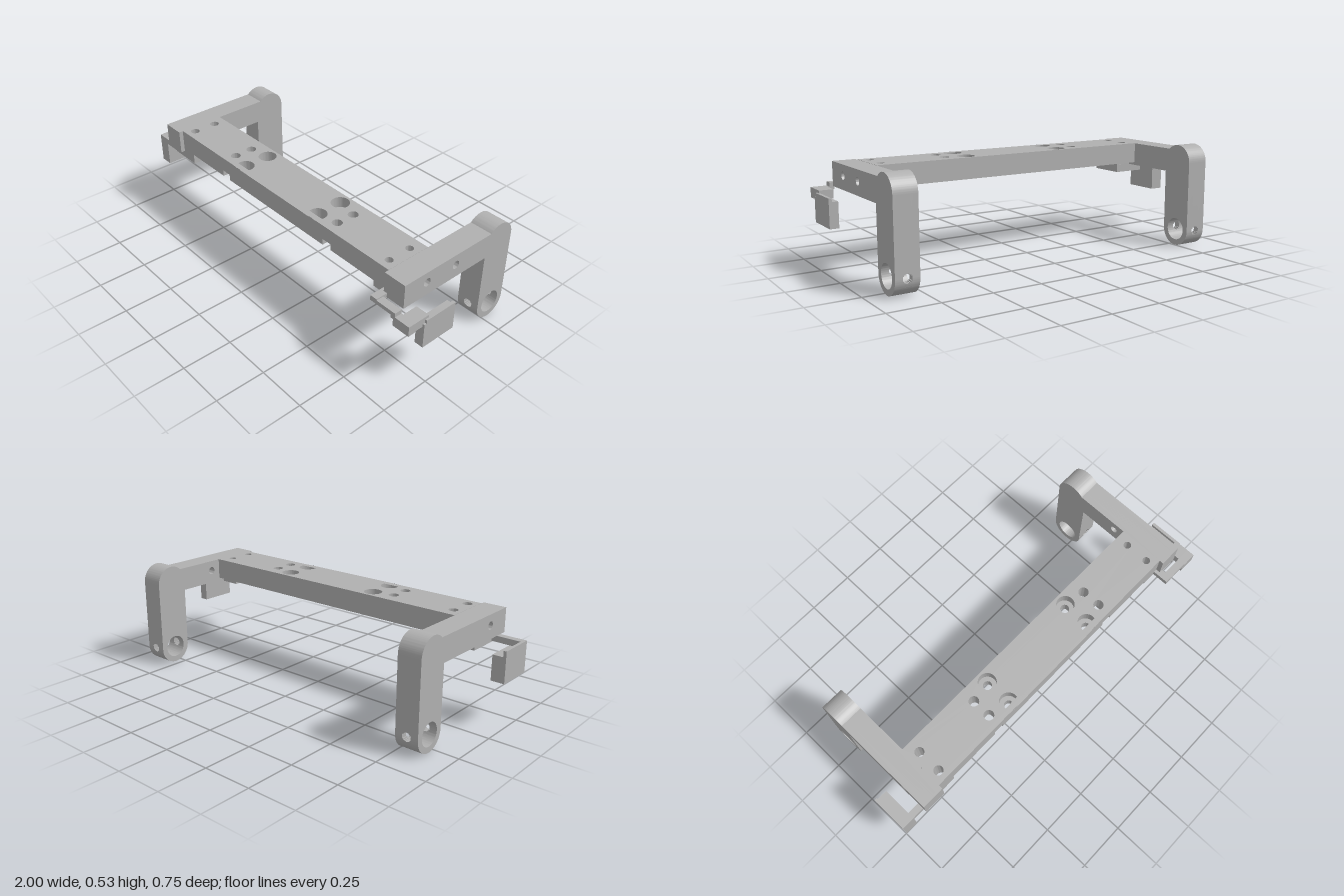
import * as THREE from 'three';
import { toCreasedNormals } from 'three/addons/utils/BufferGeometryUtils.js';

const grey = new THREE.MeshStandardMaterial({ color: 0xb0b0b0 });
grey.name = 'machined grey';

function addMesh(parent, name, geometry) {
  const mesh = new THREE.Mesh(geometry, grey);
  mesh.name = name;
  parent.add(mesh);
}

function circle(x, y, r) {
  return new THREE.Path().absarc(x, y, r, 0, Math.PI * 2, true);
}

function extrude(shape, depth) {
  const g = new THREE.ExtrudeGeometry(shape, { depth, bevelEnabled: false, curveSegments: 24 });
  return toCreasedNormals(g, 0.5);
}

function box(parent, name, x0, x1, y0, y1, z0, z1) {
  const g = new THREE.BoxGeometry(x1 - x0, y1 - y0, z1 - z0);
  g.translate((x0 + x1) / 2, (y0 + y1) / 2, (z0 + z1) / 2);
  addMesh(parent, name, g);
}

// Horizontal layer from an [x, z] outline, with [x, z, radius] holes
function layer(parent, name, outline, holes, y0, y1) {
  const shape = new THREE.Shape(outline.map(([x, z]) => new THREE.Vector2(x, -z)));
  for (const [x, z, r] of holes) shape.holes.push(circle(x, -z, r));
  addMesh(parent, name, extrude(shape, y1 - y0).rotateX(-Math.PI / 2).translate(0, y0, 0));
}

const rect = (x0, x1, z0, z1) => [[x0, z1], [x1, z1], [x1, z0], [x0, z0]];

// One slice of an arm: x0..x1, with the cross hole opened by h above and below the bore axis
const U = 0.287, YB = 0.089, R = 0.0865, BORE = 0.057;
function armSlice(parent, x0, x1, h, sideHoles) {
  const a = Math.asin(h / BORE), b = Math.asin(h / R);
  const domeY = 0.45, domeA = Math.asin((0.511 - domeY) / R);
  const upper = new THREE.Shape();
  upper.moveTo(U + R, YB + h);
  upper.lineTo(U + R, domeY);
  upper.absarc(U, domeY, R, 0, Math.PI - domeA, false);
  upper.lineTo(-0.314, 0.511);
  upper.lineTo(-0.314, 0.39);
  upper.lineTo(U - R, 0.39);
  upper.lineTo(U - R, YB + h);
  upper.absarc(U, YB, BORE, Math.PI - a, a, true);
  for (const z of sideHoles) upper.holes.push(circle(-z, 0.457, 0.02));

  const lower = new THREE.Shape();
  lower.absarc(U, YB, R, -b, -Math.PI + b, true);
  lower.absarc(U, YB, BORE, -Math.PI + a, -a, false);

  for (const [name, s] of [['armBody', upper], ['armEye', lower]]) {
    addMesh(parent, name, extrude(s, x1 - x0).rotateY(Math.PI / 2).translate(x0, 0, 0));
  }
}

function arm(name, x0, x1, sideHoles) {
  const group = new THREE.Group();
  group.name = name;
  const c = (x0 + x1) / 2, r = 0.022, n = 8;
  armSlice(group, x0, c - r, 0, sideHoles);
  armSlice(group, c + r, x1, 0, sideHoles);
  // Thin slices follow the round cross hole
  for (let i = 0; i < n; i++) {
    const s0 = -r + (2 * r * i) / n, s1 = s0 + (2 * r) / n, m = (s0 + s1) / 2;
    armSlice(group, c + s0, c + s1, Math.sqrt(r * r - m * m), sideHoles);
  }
  return group;
}

function crossBar() {
  const g = new THREE.Group();
  g.name = 'crossBar';
  const x0 = -0.755, x1 = 0.783, zb = 0.055, zf = 0.292;
  const near = [], far = [], bores = [];
  for (const [x, r, zs] of [
    [-0.71, 0.023, [0.12, 0.243]], [0.737, 0.019, [0.12, 0.243]],
    [-0.368, 0.025, [0.132, 0.229]], [0.396, 0.025, [0.132, 0.229]],
    [-0.258, 0.022, [0.112, 0.25]], [0.287, 0.022, [0.112, 0.25]],
  ]) {
    near.push([x, zs[0], r]);
    far.push([x, zs[1], r]);
    const topR = r === 0.022 ? 0.045 : r;
    bores.push([x, zs[0], topR], [x, zs[1], topR]);
  }
  // Counterbored top
  layer(g, 'barTop', rect(x0, x1, zb, zf), bores, 0.457, 0.512);
  // Two rails leave a lengthwise passage between them
  layer(g, 'barRearRail', rect(x0, x1, zb, 0.158), near, 0.437, 0.457);
  layer(g, 'barFrontRail', rect(x0, x1, 0.198, zf), far, 0.437, 0.457);
  // Bottom with two front notches
  const outline = [[x0, zb], [x0, zf]];
  for (const c of [-0.368, 0.396]) {
    outline.push([c - 0.027, zf], [c - 0.027, 0.2], [c + 0.027, 0.2], [c + 0.027, zf]);
  }
  outline.push([x1, zf], [x1, zb]);
  const notched = far.filter(([x]) => Math.abs(x) < 0.3 || Math.abs(x) > 0.5);
  layer(g, 'barBottom', outline, [...near, ...notched], 0.405, 0.437);
  return g;
}

function rightBracket() {
  const g = new THREE.Group();
  g.name = 'rightBracket';
  const holes = [[-0.71, 0.12, 0.023], [-0.71, 0.243, 0.023]];
  layer(g, 'mountPlate', rect(-0.84, -0.67, 0.103, 0.29), holes, 0.35, 0.39);
  layer(g, 'mountPad', rect(-0.755, -0.67, 0.103, 0.29), holes, 0.39, 0.405);
  box(g, 'link', -0.985, -0.84, 0.355, 0.385, 0.257, 0.291);
  box(g, 'rim', -1, -0.985, 0.355, 0.385, 0.103, 0.291);
  box(g, 'endBlock', -1, -0.932, 0.23, 0.355, 0.103, 0.291);
  return g;
}

function leftBracket() {
  const g = new THREE.Group();
  g.name = 'leftBracket';
  const holes = [[0.737, 0.12, 0.019], [0.737, 0.243, 0.019]];
  layer(g, 'mountPlate', rect(0.698, 0.8, 0.103, 0.29), holes, 0.373, 0.39);
  layer(g, 'mountPad', rect(0.698, 0.783, 0.103, 0.29), holes, 0.39, 0.405);
  box(g, 'neck', 0.765, 0.802, 0.385, 0.411, 0.278, 0.374);
  box(g, 'frontRail', 0.802, 0.9, 0.385, 0.405, 0.335, 0.374);
  box(g, 'frontStep', 0.9, 0.99, 0.335, 0.385, 0.335, 0.374);
  box(g, 'frontStepTop', 0.885, 0.91, 0.37, 0.405, 0.335, 0.374);
  box(g, 'returnBar', 0.92, 0.99, 0.34, 0.385, 0.257, 0.335);
  box(g, 'endBlock', 0.955, 1, 0.23, 0.355, 0.103, 0.291);
  box(g, 'rim', 0.985, 1, 0.355, 0.372, 0.103, 0.278);
  return g;
}

export function createModel() {
  const model = new THREE.Group();
  model.name = 'mountingFrame';
  model.add(
    crossBar(),
    arm('rightArm', -0.872, -0.755, [0.178]),
    arm('leftArm', 0.783, 0.9, [0.178, 0]),
    rightBracket(),
    leftBracket(),
  );
  return model;
}
